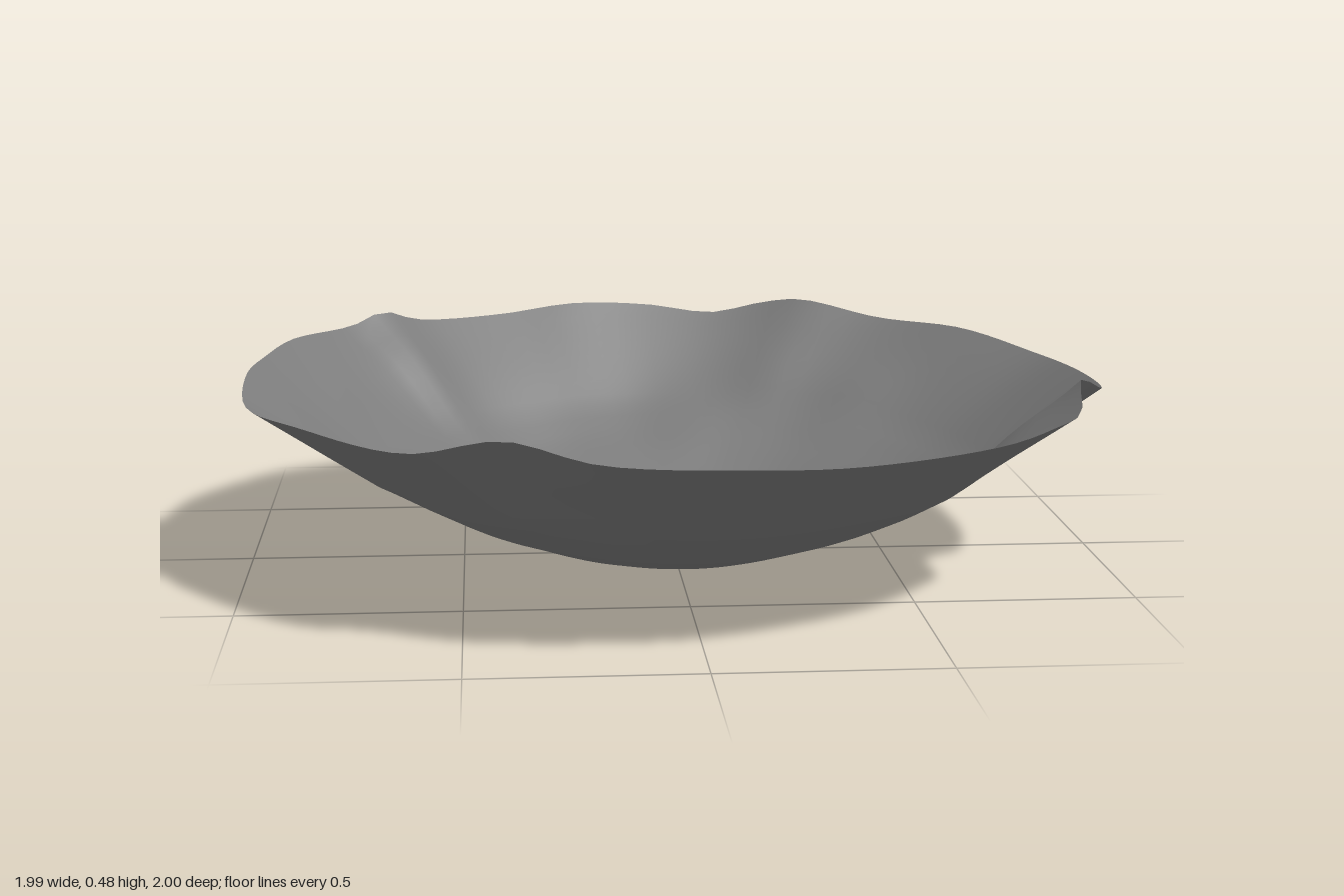
import * as THREE from 'three';
import { mergeVertices } from 'three/addons/utils/BufferGeometryUtils.js';

// Rim points x, y, z, from the front round by the left side
const RIM = [
  [0.1, 0.42, 0.995], [0.3, 0.415, 0.96], [0.62, 0.415, 0.79], [0.78, 0.42, 0.62], [0.86, 0.43, 0.51],
  [0.885, 0.48, 0.39], [0.96, 0.44, 0.28], [0.99, 0.425, 0.1], [0.985, 0.42, -0.1], [0.945, 0.415, -0.35],
  [0.8, 0.44, -0.6], [0.61, 0.44, -0.79], [0.41, 0.475, -0.9], [0.3, 0.455, -0.96], [0.18, 0.43, -0.975],
  [0, 0.45, -1], [-0.2, 0.46, -0.97], [-0.4, 0.44, -0.92], [-0.62, 0.45, -0.78], [-0.71, 0.485, -0.69],
  [-0.78, 0.46, -0.64], [-0.92, 0.465, -0.4], [-0.975, 0.455, -0.2], [-1, 0.45, 0], [-0.98, 0.42, 0.26],
  [-0.85, 0.425, 0.52], [-0.6, 0.425, 0.81], [-0.41, 0.465, 0.89], [-0.22, 0.43, 0.97],
];

// Bowl section: radius, height
const SECTION = [[0, 0.004], [0.16, 0.01], [0.33, 0.045], [0.48, 0.1], [0.62, 0.165], [0.72, 0.22], [0.86, 0.325], [1, 0.43]];

// Soft dents and bulges in the wall: x, z, height, spread
const DENTS = [
  [-0.66, -0.6, 0.04, 0.12], [0.52, -0.56, 0.03, 0.13], [0.1, -0.62, 0.025, 0.13], [-0.25, 0.72, 0.02, 0.13],
  [-0.5, -0.15, 0.015, 0.15], [0.78, 0.3, 0.03, 0.11], [-0.62, 0.3, 0.02, 0.12], [-0.3, -0.5, -0.015, 0.14],
  [0.3, -0.75, 0.02, 0.1], [0.5, 0.1, -0.008, 0.16], [0.2, -0.35, -0.01, 0.14], [-0.82, -0.3, 0.015, 0.1],
];

function sectionHeight(t) {
  const i = Math.max(1, SECTION.findIndex(([r]) => r >= t - 1e-6));
  const [r0, h0] = SECTION[i - 1], [r1, h1] = SECTION[i];
  return THREE.MathUtils.lerp(h0, h1, (t - r0) / (r1 - r0));
}

function wallOffset(x, z) {
  let y = 0;
  for (const [cx, cz, h, s] of DENTS) y += h * Math.exp(-((x - cx) ** 2 + (z - cz) ** 2) / (s * s));
  const ripple = 0.005 * Math.sin(9 * x + 2 * z) * Math.sin(8 * z - 3 * x + 1);
  return y + ripple * Math.min(1, 2 * Math.hypot(x, z));
}

export function createModel() {
  const rings = 28, segments = 112;
  const rim = new THREE.CatmullRomCurve3(RIM.map(p => new THREE.Vector3(...p)), true);

  // Lathe grid reshaped to the uneven rim
  const profile = Array.from({ length: rings + 1 }, (_, j) => new THREE.Vector2(j / rings, 0));
  let geometry = new THREE.LatheGeometry(profile, segments);
  const pos = geometry.attributes.position;
  for (let i = 0; i <= segments; i++) {
    const edge = rim.getPointAt((i % segments) / segments);
    const radius = Math.hypot(edge.x, edge.z);
    for (let j = 0; j <= rings; j++) {
      const t = j / rings;
      const scale = t * (1 + (radius - 1) * t * t) / radius;
      const x = edge.x * scale, z = edge.z * scale;
      const fade = 1 - t ** 6;
      const y = sectionHeight(t) + (edge.y - 0.43) * t ** 4 + wallOffset(x, z) * fade;
      pos.setXYZ(i * (rings + 1) + j, x, Math.max(0, y), z);
    }
  }

  // Weld the seam so the shading stays smooth
  geometry.deleteAttribute('normal');
  geometry.deleteAttribute('uv');
  geometry = mergeVertices(geometry, 1e-5);
  geometry.computeVertexNormals();

  const stone = new THREE.MeshStandardMaterial({ color: 0x7c7c7c, side: THREE.DoubleSide });
  stone.name = 'grey stone';
  const bowl = new THREE.Mesh(geometry, stone);
  bowl.name = 'bowl';

  const group = new THREE.Group();
  group.name = 'unevenBowl';
  group.add(bowl);
  return group;
}
